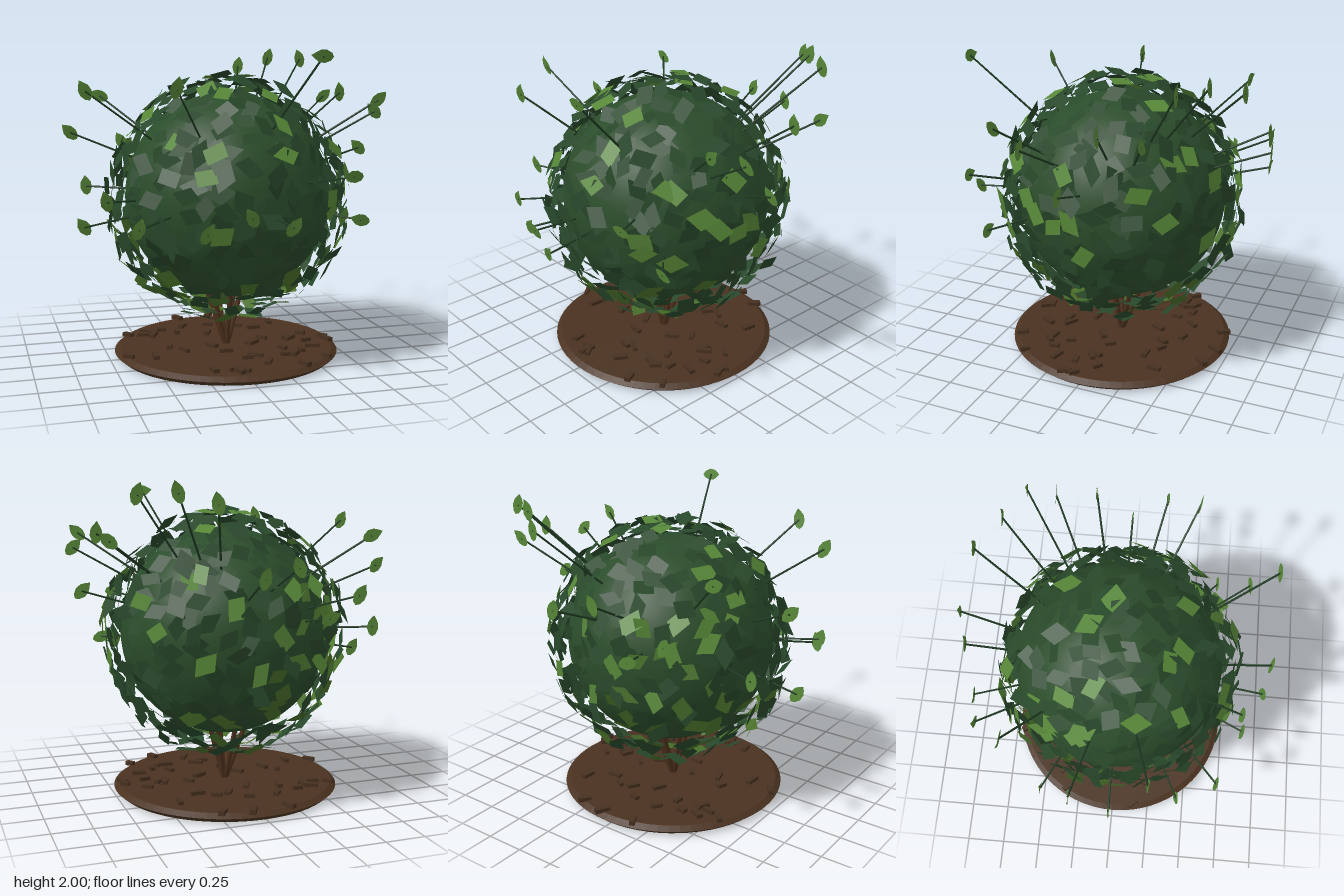
import * as THREE from 'three';
import { mergeGeometries } from 'three/addons/utils/BufferGeometryUtils.js';

const material = (name, color, extra = {}) =>
  Object.assign(new THREE.MeshStandardMaterial({ color, ...extra }), { name });

// Small seeded generator, returns values from a to b
function seeded(seed) {
  let s = seed;
  return (a = 0, b = 1) => {
    s = (s * 1664525 + 1013904223) % 4294967296;
    return a + (b - a) * (s / 4294967296);
  };
}

// Tapered rod between two points
function rod(from, to, r0, r1, sides) {
  const dir = to.clone().sub(from);
  const g = new THREE.CylinderGeometry(r1, r0, dir.length(), sides);
  g.applyQuaternion(new THREE.Quaternion().setFromUnitVectors(
    new THREE.Vector3(0, 1, 0), dir.normalize()));
  return g.translate(...from.clone().add(to).multiplyScalar(0.5).toArray());
}

// Flat four-cornered leaf lying in the XY plane
function quadLeaf(length, width, skew) {
  const s = new THREE.Shape([
    new THREE.Vector2(0, -length / 2), new THREE.Vector2(width / 2, skew),
    new THREE.Vector2(0, length / 2), new THREE.Vector2(-width / 2, -skew),
  ]);
  return new THREE.ShapeGeometry(s);
}

// Pointed, slightly cupped leaf at the end of a sprig
function pointedLeaf() {
  const half = [[0.022, -0.048], [0.038, -0.012], [0.034, 0.025], [0.018, 0.05]];
  const pts = [[0, -0.062], ...half, [0, 0.072],
    ...half.slice().reverse().map(([x, y]) => [-x, y])];
  const g = new THREE.ShapeGeometry(new THREE.Shape(pts.map(p => new THREE.Vector2(...p))));
  const pos = g.attributes.position;
  for (let i = 0; i < pos.count; i++)
    pos.setZ(i, 0.012 - 8 * pos.getX(i) ** 2 - 4 * pos.getY(i) ** 2);
  g.computeVertexNormals();
  return g;
}

export function createModel() {
  const model = new THREE.Group();
  model.name = 'roundBush';
  const rand = seeded(71);
  const double = { side: THREE.DoubleSide };
  const mats = {
    core: material('crown green', 0x2b4d2b),
    dark: material('dark leaf', 0x28482a, double),
    bright: material('bright leaf', 0x568637, double),
    mid: material('mid green leaf', 0x486e29, double),
    sprig: material('sprig stem', 0x1f3a22),
    bark: material('bark', 0x4d301c),
    soil: material('soil', 0x4a3220),
    chip: material('wood chip', 0x46301f),
  };
  const add = (name, geometry, mat) => {
    const mesh = new THREE.Mesh(geometry, mat);
    mesh.name = name;
    model.add(mesh);
    return mesh;
  };
  const center = new THREE.Vector3(0.03, 1.045, -0.01);

  // Soil disc with a bevelled rim
  const profile = [[0, 0], [0.695, 0], [0.73, 0.03], [0.695, 0.055], [0, 0.055]]
    .map(p => new THREE.Vector2(...p));
  const disc = new THREE.LatheGeometry(profile, 64).toNonIndexed();
  disc.computeVertexNormals();
  disc.translate(0.017, 0, 0);
  add('soilDisc', disc, mats.soil);

  // Wood chips scattered over the soil
  const chips = [];
  for (let i = 0; i < 46; i++) {
    const a = rand(0, Math.PI * 2), r = 0.71 * Math.sqrt(rand(0.03, 1));
    chips.push(new THREE.BoxGeometry(rand(0.06, 0.1), 0.028, rand(0.025, 0.04))
      .rotateY(rand(0, Math.PI))
      .translate(0.017 + r * Math.cos(a), 0.064, r * Math.sin(a)));
  }
  add('woodChips', mergeGeometries(chips), mats.chip);

  // Trunk stems fanning out from one point in the ground
  const stems = [];
  for (let i = 0; i < 6; i++) {
    const a = i / 6 * Math.PI * 2 + 0.4, c = Math.cos(a), s = Math.sin(a);
    stems.push(rod(new THREE.Vector3(0.02 + c * 0.006, 0.04, s * 0.006),
      new THREE.Vector3(0.01 + c * 0.14, 0.5, -0.04 + s * 0.14), 0.016, 0.017, 8));
  }
  add('trunkStems', mergeGeometries(stems), mats.bark);

  // Solid crown
  add('crown', new THREE.SphereGeometry(0.66, 48, 32), mats.core).position.copy(center);

  // One loose leaf on the shell, roughly tangent to the crown
  const leaves = { dark: [], bright: [], mid: [] };
  const pose = new THREE.Object3D();
  const addLeaf = (kind, dir, radius, tilt, length, width) => {
    pose.position.copy(center).addScaledVector(dir, radius);
    pose.lookAt(pose.position.clone().add(dir));
    pose.rotateX(rand(-tilt, tilt));
    pose.rotateY(rand(-tilt, tilt));
    pose.rotateZ(rand(0, Math.PI * 2));
    pose.updateMatrix();
    leaves[kind].push(quadLeaf(length, width, rand(-0.03, 0.03)).applyMatrix4(pose.matrix));
  };

  // Leaf shell; light leaves are scattered at random over the back and left
  const count = 480;
  for (let i = 0; i < count; i++) {
    const y = 1 - 2 * (i + 0.5) / count, r = Math.sqrt(1 - y * y);
    const a = i * 2.39996 + rand(-0.12, 0.12);
    const dir = new THREE.Vector3(r * Math.cos(a), y + rand(-0.04, 0.04), r * Math.sin(a)).normalize();
    const scattered = Math.max(dir.x, dir.y, dir.z) < 0.6 && rand() < 0.24;
    const kind = !scattered ? 'dark' : y < -0.25 ? 'mid' : 'bright';
    addLeaf(kind, dir, rand(0.7, 0.78) - 0.035 * Math.min(y, 0), 0.38,
      rand(0.15, 0.2), rand(0.105, 0.145));
  }

  // Light leaves placed on the front (x, y), left side (z, y) and top (x, z)
  const front = [[-0.18, 1.7], [-0.22, 1.36], [-0.28, 1.23], [0.17, 1.35], [0.2, 1.51],
    [0.57, 1.35], [-0.2, 0.9], [0.5, 1.0], [0.27, 0.6], [0.0, 0.57], [0.47, 0.72], [-0.16, 0.5]];
  const side = [[0.07, 1.37], [0.43, 1.36], [0.22, 1.13], [0.1, 1.08], [0, 1.12], [0.3, 1.2],
    [0.45, 0.95], [-0.08, 0.93], [-0.36, 1.29], [0.58, 1.08], [-0.5, 1.13], [0.58, 0.64], [0.25, 0.76]];
  const top = [[0.25, -0.32], [-0.02, -0.17], [0.14, -0.05], [-0.35, -0.12], [-0.4, -0.28],
    [-0.5, 0.13], [-0.17, -0.66], [-0.1, 0.36], [0.18, 0.37], [0.35, -0.55]];
  const depth = (a, b) => Math.sqrt(Math.max(0.02, 0.56 - a * a - b * b));
  const spots = [
    ...front.map(([x, y]) => [x - center.x, y - center.y, depth(x - center.x, y - center.y)]),
    ...side.map(([z, y]) => [depth(z - center.z, y - center.y), y - center.y, z - center.z]),
    ...top.map(([x, z]) => [x - center.x, depth(x - center.x, z - center.z), z - center.z]),
  ];
  for (const spot of spots) {
    const dir = new THREE.Vector3(...spot).normalize();
    addLeaf(dir.y < -0.25 ? 'mid' : 'bright', dir, rand(0.765, 0.785), 0.2,
      rand(0.16, 0.2), rand(0.12, 0.15));
  }
  for (const kind in leaves) add(kind + 'Leaves', mergeGeometries(leaves[kind]), mats[kind]);

  // Long sprigs: tip position and turn of the end leaf
  const sprigs = [
    [0.13, 1.47, -0.99, 0.3], [-0.10, 1.52, -0.92, -0.4], [-0.31, 1.22, -0.88, 1.2],
    [-0.52, 1.34, -0.83, 0.5], [-0.70, 1.67, -0.62, 1.2], [-0.83, 1.08, -0.42, 0.1],
    [-0.95, 1.45, -0.22, 0.8], [-0.90, 0.87, 0.00, 0.6], [-0.91, 1.72, 0.23, 0.5],
    [-0.82, 1.08, 0.41, 0.3], [-0.68, 0.95, 0.66, -0.3], [-0.47, 1.74, 0.72, -0.2],
    [-0.32, 0.93, 0.81, -0.5], [-0.09, 1.03, 0.92, 0.6], [0.13, 0.98, 0.98, -0.6],
    [0.33, 1.92, 0.88, 1.5], [0.57, 1.23, 0.79, 1.5], [0.70, 0.94, 0.60, 1.3],
    [0.88, 1.66, 0.42, -0.8], [0.95, 1.58, 0.22, 0.8], [0.94, 1.33, 0.00, 0.8],
    [0.89, 1.69, -0.22, 0.1], [0.87, 1.66, -0.47, -0.9], [0.74, 1.92, -0.61, 0.3],
    [0.54, 1.93, -0.73, -0.3], [0.36, 1.87, -0.88, -0.2],
  ];
  const sprigStems = [], sprigLeaves = [];
  for (const [x, y, z, turn] of sprigs) {
    const tip = new THREE.Vector3(x, y, z);
    const root = tip.clone().sub(center).setLength(0.65).add(center);
    sprigStems.push(rod(root, tip, 0.007, 0.006, 6));
    // End leaves face forward and lean out at the front
    sprigLeaves.push(pointedLeaf().rotateZ(turn).rotateX(0.12 + 0.12 * z)
      .rotateY(rand(-0.15, 0.15)).translate(x, y, z));
  }
  add('sprigStems', mergeGeometries(sprigStems), mats.sprig);
  add('sprigLeaves', mergeGeometries(sprigLeaves), mats.bright);

  return model;
}
